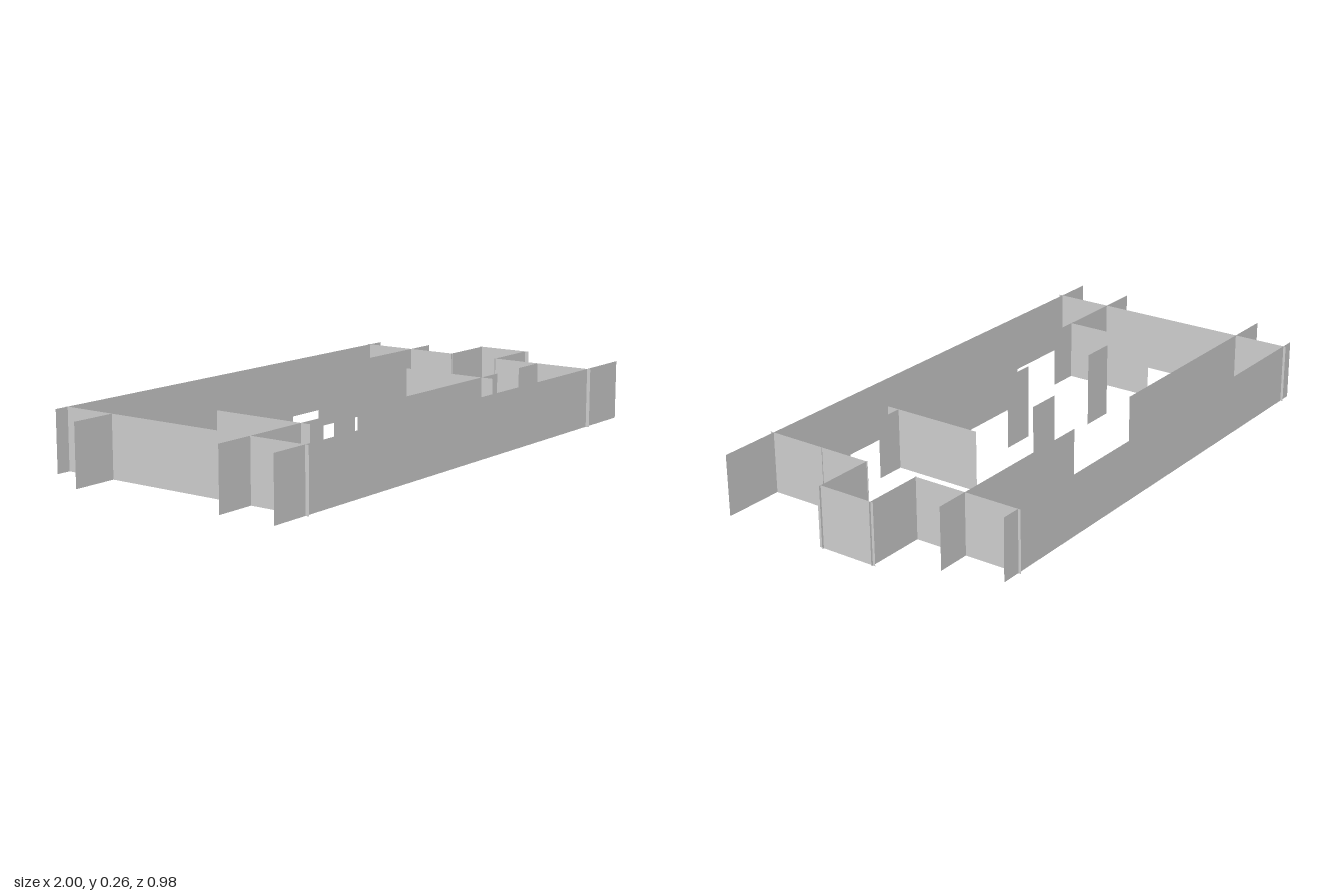
import * as THREE from 'three';

export function createModel() {
  const model = new THREE.Group();
  model.name = 'wallLayout';
  const material = new THREE.MeshStandardMaterial({ color: 0xcccccc, side: THREE.DoubleSide, flatShading: true });

  // Upright sheet standing between two floor points
  function sheet(name, x0, z0, x1, z1, bottom = 0.005, top = 0.215) {
    const length = Math.hypot(x1 - x0, z1 - z0);
    const mesh = new THREE.Mesh(new THREE.PlaneGeometry(length, top - bottom), material);
    mesh.name = name;
    mesh.position.set((x0 + x1) / 2, (bottom + top) / 2, (z0 + z1) / 2);
    mesh.rotation.y = -Math.atan2(z1 - z0, x1 - x0);
    model.add(mesh);
  }
  const alongX = (name, z, x0, x1) => sheet(name, x0, z, x1, z);
  const alongZ = (name, x, z0, z1) => sheet(name, x, z0, x, z1);

  // Long outer walls
  alongX('frontWall', 0.477, -0.98, 0.995);
  alongX('backWall', -0.481, -0.89, 0.85);

  // Inner walls, broken by openings
  alongX('backInnerWallRight', -0.287, -1, -0.123);
  alongX('backInnerWallLeft', -0.287, 0.205, 0.9);
  alongX('frontInnerWallRight', 0.273, -0.98, -0.49);
  alongX('frontInnerWallMiddle', 0.273, -0.26, 0.507);
  alongX('frontInnerWallLeft', 0.273, 0.65, 0.783);

  // Cross walls
  alongZ('rightEndWall', -0.838, -0.49, 0.49);
  alongZ('rightPartition', -0.6, -0.063, 0.308);
  alongZ('leftPartition', 0.405, -0.045, 0.318);
  alongZ('leftEndWallBack', 0.78, -0.49, -0.098);
  alongZ('leftEndWallFront', 0.78, 0.088, 0.49);

  // Small bay projecting from the left end
  alongX('bayBackWall', -0.101, 0.775, 0.997);
  alongX('bayFrontWall', 0.092, 0.775, 0.997);
  alongZ('bayEndWall', 0.99, -0.11, 0.107);

  // Taller narrow panels in the middle
  for (const [x, z] of [[-0.325, -0.026], [0, 0.083], [0.162, -0.138]]) {
    sheet('narrowPanel', x - 0.06, z, x + 0.06, z, 0, 0.26);
  }
  return model;
}
